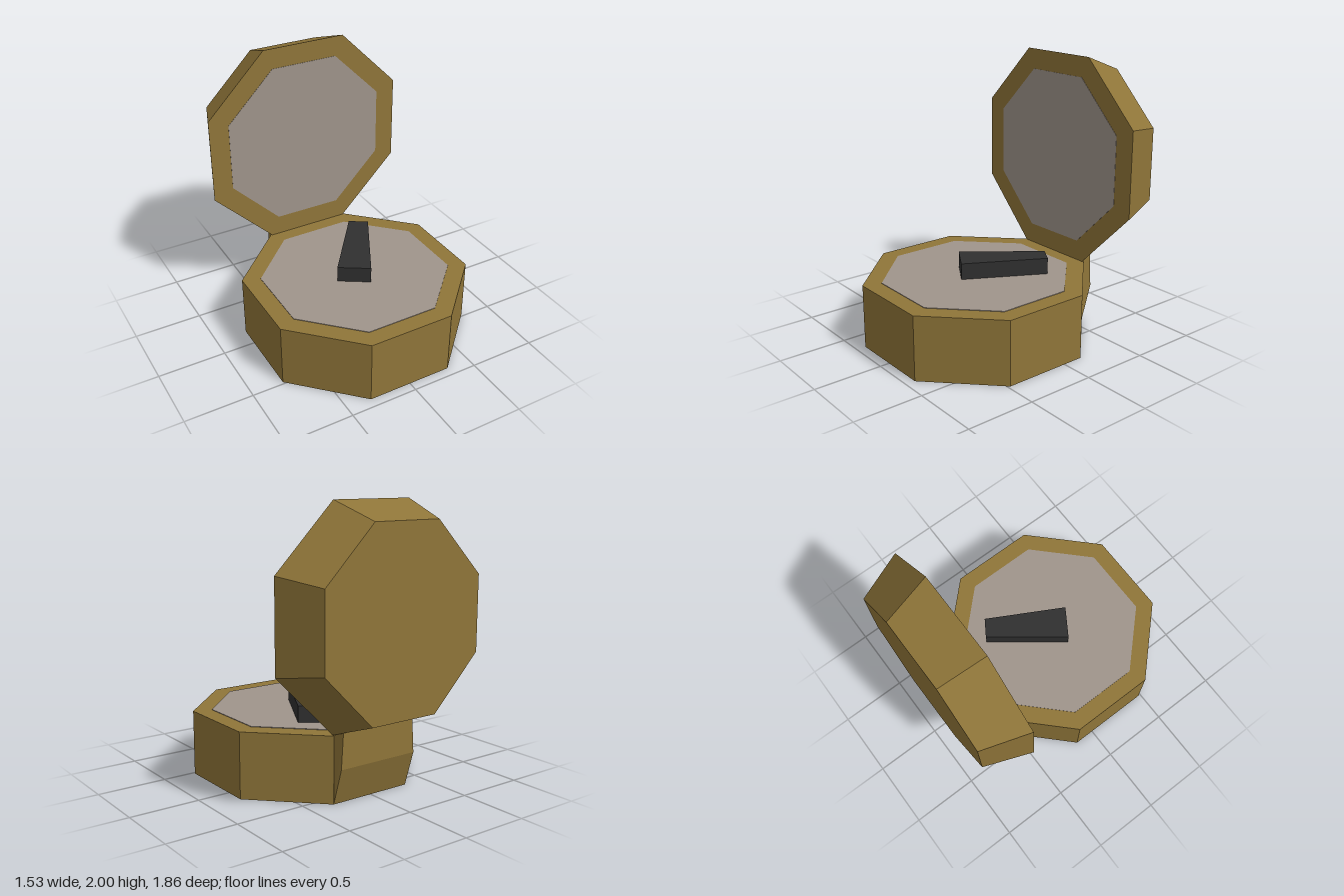
import * as THREE from 'three';

const mat = (name, color) => {
  const m = new THREE.MeshStandardMaterial({ color, flatShading: true });
  m.name = name;
  return m;
};

// Octagonal frustum with flat sides facing the axes; sizes are centre-to-flat distances
function octagon(top, bottom, height) {
  const k = 1 / Math.cos(Math.PI / 8);
  return new THREE.CylinderGeometry(top * k, bottom * k, height, 8).rotateY(Math.PI / 8);
}

// Straight extrusion of a closed outline
function extrude(points, depth) {
  const shape = new THREE.Shape(points.map(([x, y]) => new THREE.Vector2(x, y)));
  return new THREE.ExtrudeGeometry(shape, { depth, bevelEnabled: false });
}

export function createModel() {
  const model = new THREE.Group();
  model.name = 'hingedCase';
  const gold = mat('gold', 0x8f7539);
  const grey = mat('warm grey', 0x9f948b);
  const black = mat('black', 0x303030);

  const add = (name, geometry, material, x = 0, y = 0, z = 0) => {
    const mesh = new THREE.Mesh(geometry, material);
    mesh.name = name;
    mesh.position.set(x, y, z);
    model.add(mesh);
  };

  // Base with its face plate
  const baseH = 0.472, baseZ = 0.165;
  add('base', octagon(0.765, 0.765, baseH), gold, 0, baseH / 2, baseZ);
  add('baseFace', octagon(0.64, 0.64, 0.006), grey, 0, baseH + 0.001, baseZ);

  // Tapered needle lying on the face
  const needle = extrude([[-0.17, -0.2], [0.035, -0.33], [0.335, -0.22 + 0.44], [0.21, 0.3]], 0.121);
  add('needle', needle.rotateX(-Math.PI / 2), black, 0, baseH + 0.002, 0);

  // Open lid, narrowing toward the back, with its inner plate
  const lidY = 1.237, lidFront = -0.584, lidDepth = 0.346;
  add('lid', octagon(0.64, 0.763, lidDepth).rotateX(-Math.PI / 2), gold, 0, lidY, lidFront - lidDepth / 2);
  add('lidFace', octagon(0.613, 0.613, 0.006).rotateX(-Math.PI / 2), grey, 0, lidY, lidFront - 0.001);

  // Hinge block behind the base, slightly narrower where it meets the lid
  const hinge = extrude([[0.59, 0], [0.6, 0], [0.68, 0.26], [0.68, 0.508], [0.59, 0.475]], 0.632);
  hinge.rotateY(Math.PI / 2).translate(-0.316, 0, 0);
  const p = hinge.attributes.position;
  for (let i = 0; i < p.count; i++) if (p.getY(i) > 0.5) p.setX(i, p.getX(i) * 0.95);
  hinge.computeVertexNormals();
  add('hinge', hinge, gold);

  return model;
}
